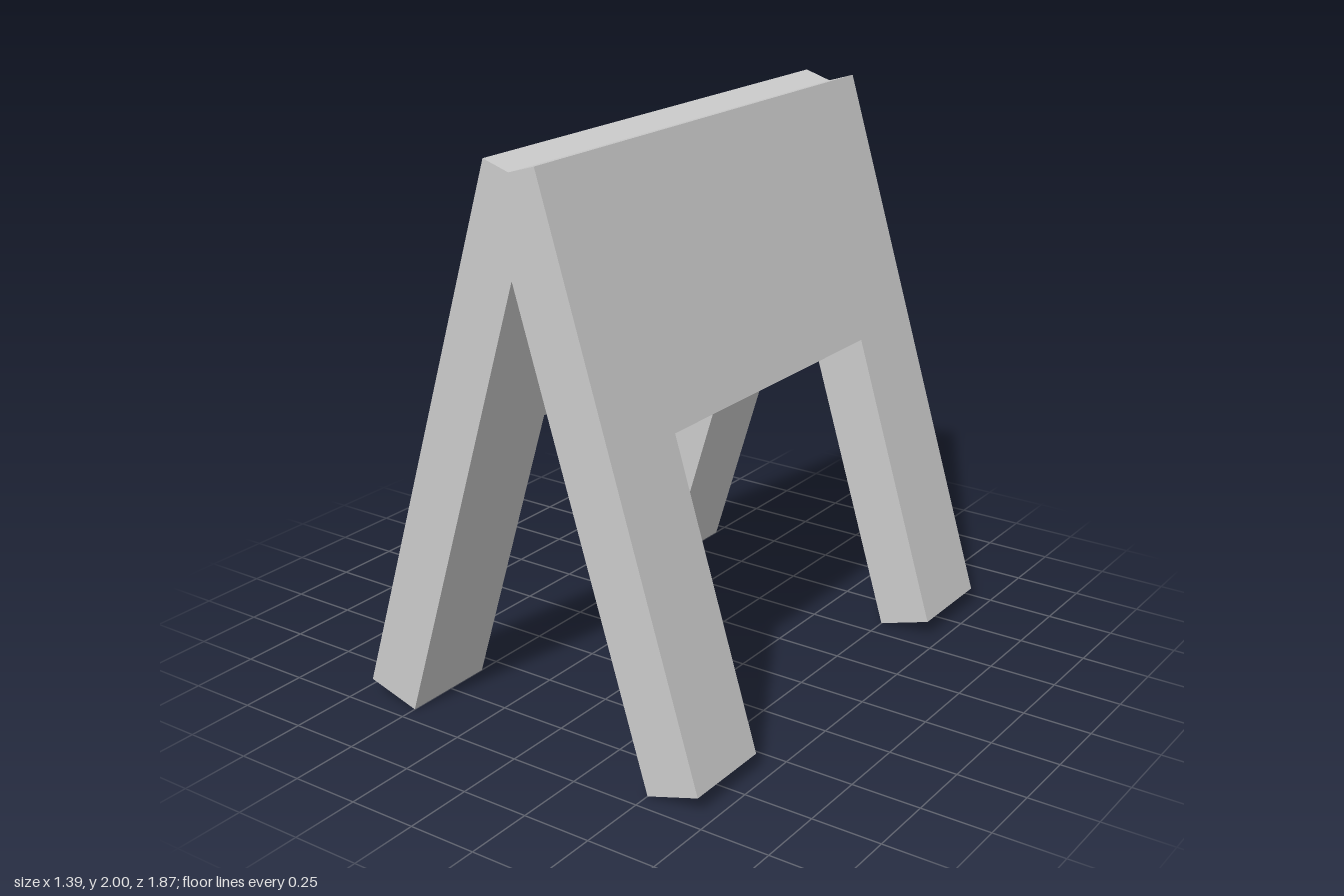
import * as THREE from 'three';

const TILT = Math.atan2(0.595, 1.94); // lean of each board from vertical
const LENGTH = 2.03, THICKNESS = 0.204, HALF_WIDTH = 0.937, LEG_HEIGHT = 1.098;

// One leaning board: a wide panel with two legs, cut from a single sheet
function boardGeometry() {
  const outline = [
    [-HALF_WIDTH, 0], [-0.6, 0], [-0.6, LEG_HEIGHT], [0.58, LEG_HEIGHT],
    [0.58, 0], [HALF_WIDTH, 0], [HALF_WIDTH, LENGTH], [-HALF_WIDTH, LENGTH],
  ];
  const shape = new THREE.Shape(outline.map(([x, y]) => new THREE.Vector2(x, y)));
  const geometry = new THREE.ExtrudeGeometry(shape, { depth: THICKNESS, bevelEnabled: false });
  // Face outwards to +x, lean in towards the ridge, stand on the inner foot edge
  return geometry.rotateY(Math.PI / 2).rotateZ(TILT).translate(0.5, 0, 0);
}

export function createModel() {
  const group = new THREE.Group();
  group.name = 'aFrameStand';
  const material = new THREE.MeshStandardMaterial({ color: 0xcccccc, flatShading: true });
  const geometry = boardGeometry();

  // The same board twice, turned half round, crossing at the ridge
  ['leftBoard', 'rightBoard'].forEach((name, i) => {
    const board = new THREE.Mesh(geometry, material);
    board.name = name;
    board.rotation.y = i * Math.PI;
    group.add(board);
  });
  return group;
}
